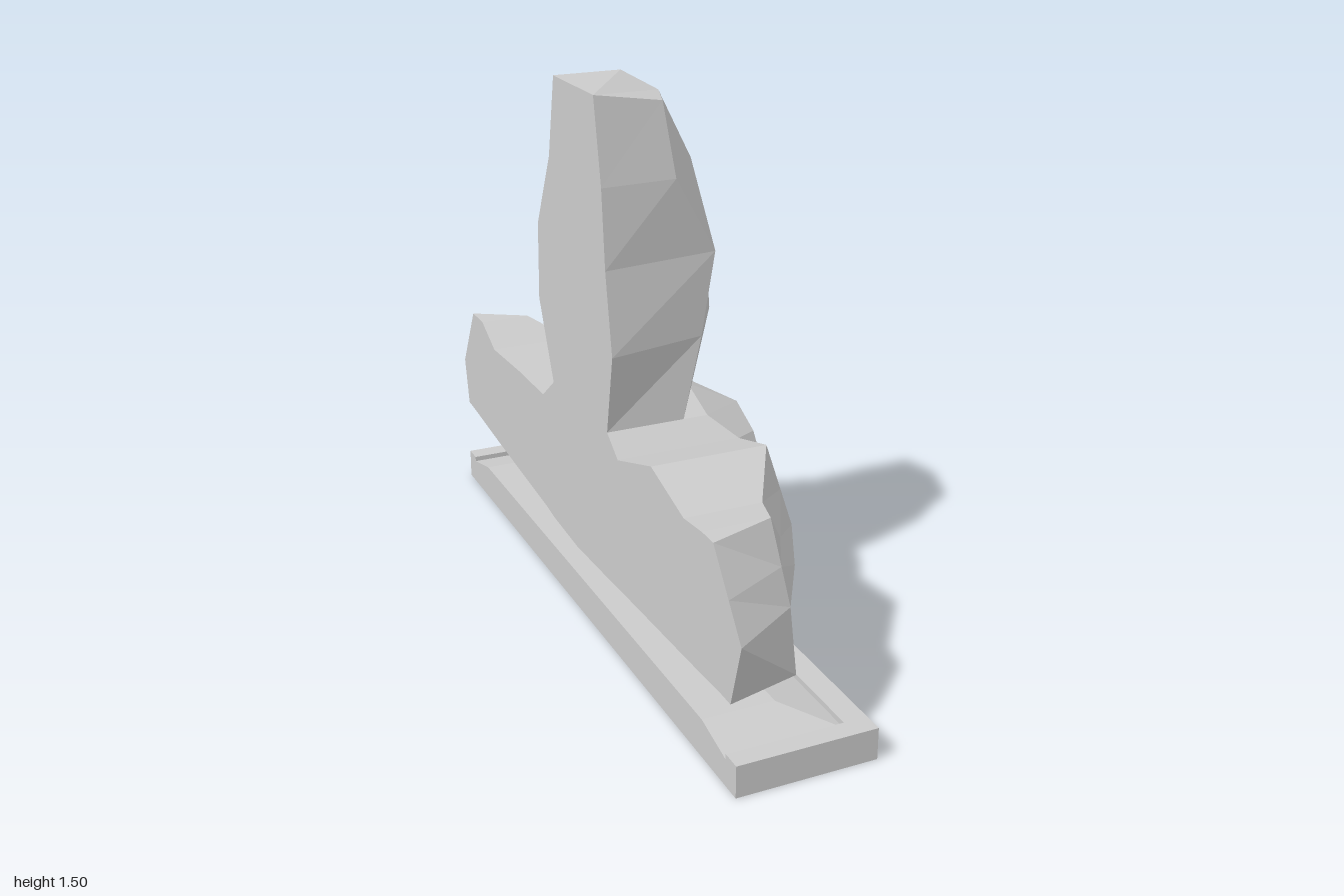
import * as THREE from 'three';

const CUT = -0.25; // plane of the flat, sliced side
const material = new THREE.MeshStandardMaterial({ color: 0xcccccc, flatShading: true });

function addMesh(group, name, geometry) {
  const mesh = new THREE.Mesh(geometry, material);
  mesh.name = name;
  group.add(mesh);
}

// Skin closed loops of [x, y, z] points and cap both ends.
function loft(sections) {
  const n = sections[0].length, pos = [];
  const tri = (a, b, c) => pos.push(...a, ...b, ...c);
  for (let i = 0; i < sections.length - 1; i++) {
    const s = sections[i], t = sections[i + 1];
    for (let j = 0; j < n; j++) {
      const k = (j + 1) % n;
      tri(s[j], s[k], t[k]);
      tri(s[j], t[k], t[j]);
    }
  }
  const first = sections[0], last = sections[sections.length - 1];
  for (let k = 1; k < n - 1; k++) {
    tri(first[0], first[k + 1], first[k]);
    tri(last[0], last[k], last[k + 1]);
  }
  const g = new THREE.BufferGeometry();
  g.setAttribute('position', new THREE.Float32BufferAttribute(pos, 3));
  g.computeVertexNormals();
  return g;
}

// One hull station: top edge, shoulder, waist and keel edge, closed on the cut plane.
function station(top, shoulder, waist, keel) {
  const upper = shoulder || top.map((v, i) => v * 0.45 + waist[i] * 0.55);
  return [[CUT, top[1], top[2]], top, upper, waist, keel, [CUT, keel[1], keel[2]]];
}

function hull() {
  return loft([
    station([CUT, 0.605, 0.85], null, [CUT, 0.41, 1], [CUT, 0.235, 0.95]),
    station([-0.07, 0.605, 0.79], null, [-0.06, 0.41, 0.88], [-0.05, 0.235, 0.9]),
    station([-0.04, 0.595, 0.69], null, [0.05, 0.41, 0.7], [0.02, 0.225, 0.72]),
    station([0.07, 0.65, 0.5], null, [0.15, 0.41, 0.5], [0.09, 0.215, 0.5]),
    station([0.1, 0.58, 0.29], [0.17, 0.5, 0.29], [0.185, 0.41, 0.29], [0.14, 0.205, 0.29]),
    station([0.04, 0.63, 0.22], [0.185, 0.555, 0.21], [0.2, 0.41, 0.21], [0.16, 0.2, 0.21]),
    station([0.09, 0.63, -0.01], [0.245, 0.55, -0.01], [0.245, 0.41, -0.01], [0.18, 0.19, -0.01]),
    station([0.04, 0.63, -0.17], [0.19, 0.555, -0.19], [0.2, 0.41, -0.19], [0.16, 0.2, -0.19]),
    station([0.1, 0.56, -0.26], [0.18, 0.55, -0.26], [0.185, 0.41, -0.26], [0.14, 0.21, -0.26]),
    station([0.06, 0.56, -0.45], null, [0.13, 0.41, -0.45], [0.09, 0.225, -0.45]),
    station([0, 0.55, -0.69], null, [0.06, 0.41, -0.69], [0.03, 0.245, -0.69]),
    station([-0.1, 0.605, -0.8], null, [-0.09, 0.41, -0.91], [-0.08, 0.265, -0.9]),
    station([CUT, 0.605, -0.89], null, [CUT, 0.41, -1], [CUT, 0.27, -0.97]),
  ]);
}

function tower() {
  // y, front z at cut, front corner x and z, outer x, back corner x and z, back z at cut
  const levels = [
    [0.55, 0.21, -0.03, 0.21, 0.09, 0.03, -0.165, -0.25],
    [0.63, 0.22, -0.03, 0.22, 0.09, 0.03, -0.165, -0.17],
    [0.85, 0.26, 0.03, 0.2, 0.15, 0.07, -0.165, -0.27],
    [1.07, 0.22, 0.08, 0.175, 0.135, 0.06, -0.16, -0.265],
    [1.28, 0.2, -0.04, 0.19, 0.09, 0.02, -0.16, -0.165],
  ];
  const loops = levels.map(([y, zf, xf, zc, xo, xb, zb, zr]) =>
    [[CUT, y, zf], [xf, y, zc], [xo, y, 0], [xb, y, zb], [CUT, y, zr]]);
  // sloping crown
  loops.push([[CUT, 1.505, 0.155], [-0.06, 1.475, 0.15], [-0.005, 1.47, 0],
    [-0.06, 1.505, -0.12], [CUT, 1.505, -0.12]]);
  return loft(loops);
}

// Three-sided rim, open on the cut side.
function rim() {
  const s = new THREE.Shape([[CUT, -0.985], [0.135, -0.985], [0.135, 0.985], [CUT, 0.985],
    [CUT, 0.93], [0.07, 0.93], [0.07, -0.93], [CUT, -0.93]].map(p => new THREE.Vector2(...p)));
  return new THREE.ExtrudeGeometry(s, { depth: 0.088, bevelEnabled: false }).rotateX(-Math.PI / 2);
}

// Raised bed with sloping edges inside the rim.
function bed() {
  return loft([[0, 0.07, 0.93], [0.073, 0.07, 0.93], [0.105, -0.05, 0.8]].map(([y, x, z]) =>
    [[CUT, y, z], [x, y, z], [x, y, -z], [CUT, y, -z]]));
}

function strut(a, b, radius) {
  const d = b.clone().sub(a);
  const g = new THREE.CylinderGeometry(radius, radius, d.length(), 6);
  g.applyQuaternion(new THREE.Quaternion().setFromUnitVectors(
    new THREE.Vector3(0, 1, 0), d.clone().normalize()));
  const m = a.clone().add(b).multiplyScalar(0.5);
  return g.translate(m.x, m.y, m.z);
}

export function createModel() {
  const model = new THREE.Group();
  model.name = 'model';
  addMesh(model, 'hull', hull());
  addMesh(model, 'tower', tower());
  addMesh(model, 'baseRim', rim());
  addMesh(model, 'baseBed', bed());

  // bent legs: hip, knee, foot
  const legs = {
    frontLeg: [[-0.015, 0.22, 0.22], [0.005, 0.15, 0.165], [-0.01, 0.09, 0.18]],
    rearLeg: [[-0.11, 0.205, -0.04], [-0.163, 0.15, 0.018], [-0.15, 0.1, 0]],
  };
  for (const [name, path] of Object.entries(legs)) {
    const leg = new THREE.Group();
    leg.name = name;
    const [hip, knee, foot] = path.map(p => new THREE.Vector3(...p));
    addMesh(leg, 'upperLeg', strut(hip, knee, 0.014));
    addMesh(leg, 'lowerLeg', strut(knee, foot, 0.014));
    model.add(leg);
  }
  return model;
}
